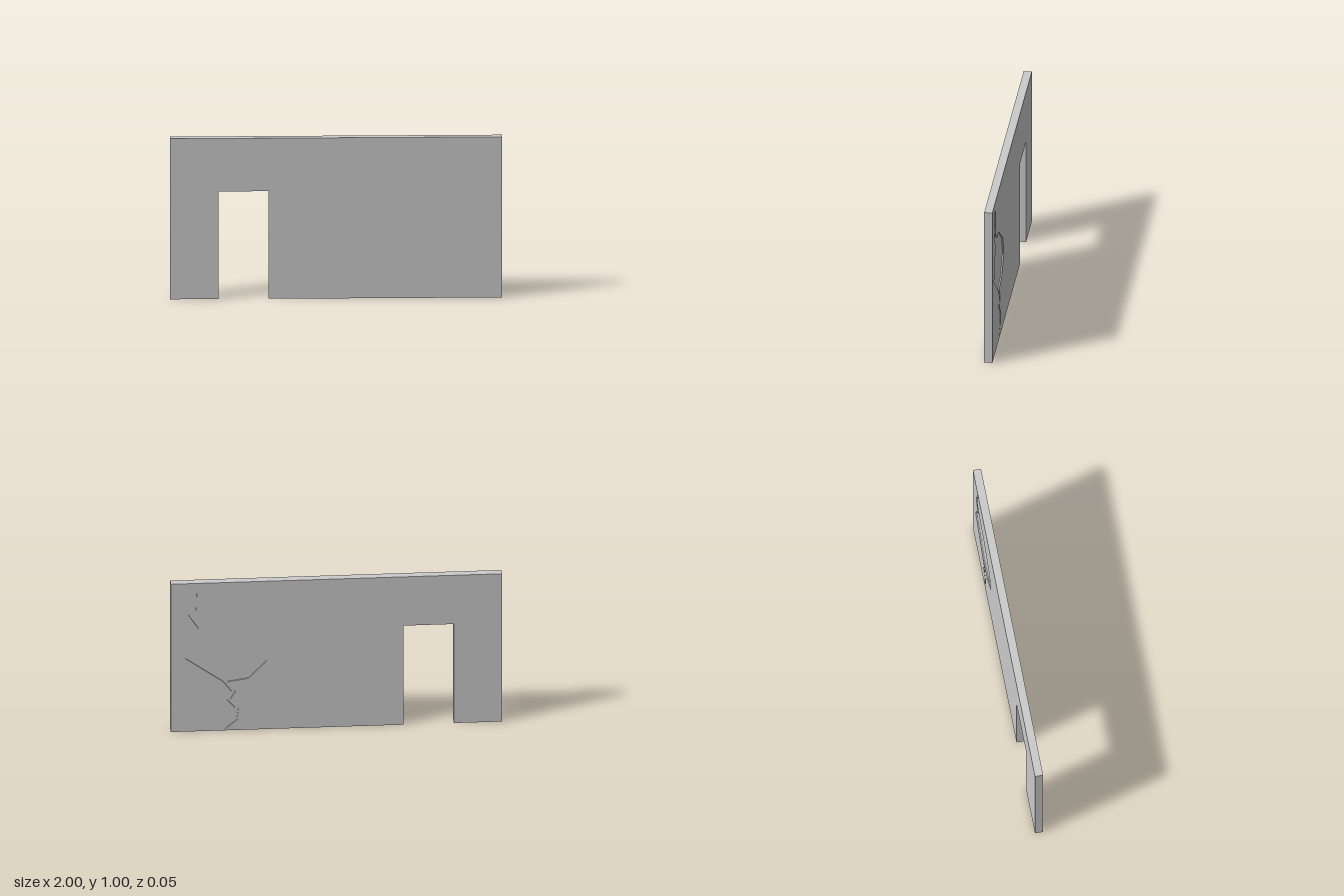
import * as THREE from 'three';

const HALF = 0.025;  // half the wall thickness
const DEPTH = 0.008; // depth of the broken plaster on the back

const material = new THREE.MeshStandardMaterial({ color: 0xcccccc, flatShading: true });

// Broken-plaster outline, both sides running from the top edge down to the floor
const outerCrack = [
  [0.84, 1], [0.893, 0.786], [0.831, 0.69], [0.872, 0.62], [0.91, 0.491], [0.683, 0.329],
  [0.634, 0.263], [0.661, 0.208], [0.612, 0.152], [0.614, 0.068], [0.683, 0],
];
const innerCrack = [
  [0.84, 1], [0.847, 0.785], [0.754, 0.721], [0.672, 0.718], [0.47, 0.584], [0.421, 0.46],
  [0.53, 0.347], [0.659, 0.327], [0.607, 0.267], [0.639, 0.209], [0.59, 0.153],
  [0.601, 0.067], [0.683, 0],
];

// Doorway notch, followed along the floor from +x to -x
const doorway = [[-0.407, 0], [-0.407, 0.67], [-0.71, 0.67], [-0.71, 0]];

function slab(name, points, zBack, thickness) {
  const shape = new THREE.Shape(points.map(([x, y]) => new THREE.Vector2(x, y)));
  const geometry = new THREE.ExtrudeGeometry(shape, { depth: thickness, bevelEnabled: false });
  geometry.translate(0, 0, zBack);
  const mesh = new THREE.Mesh(geometry, material);
  mesh.name = name;
  return mesh;
}

export function createModel() {
  const wall = new THREE.Group();
  wall.name = 'wall';

  // Full wall with the doorway
  wall.add(slab('wallCore', [[1, 1], [1, 0], ...doorway, [-1, 0], [-1, 1]],
    -HALF + DEPTH, 2 * HALF - DEPTH));

  // Thin plaster layer on the back, parted by the broken patch
  wall.add(slab('plasterEnd', [...outerCrack, [1, 0], [1, 1]], -HALF, DEPTH));
  wall.add(slab('plasterMain', [...innerCrack, ...doorway, [-1, 0], [-1, 1]], -HALF, DEPTH));

  return wall;
}
